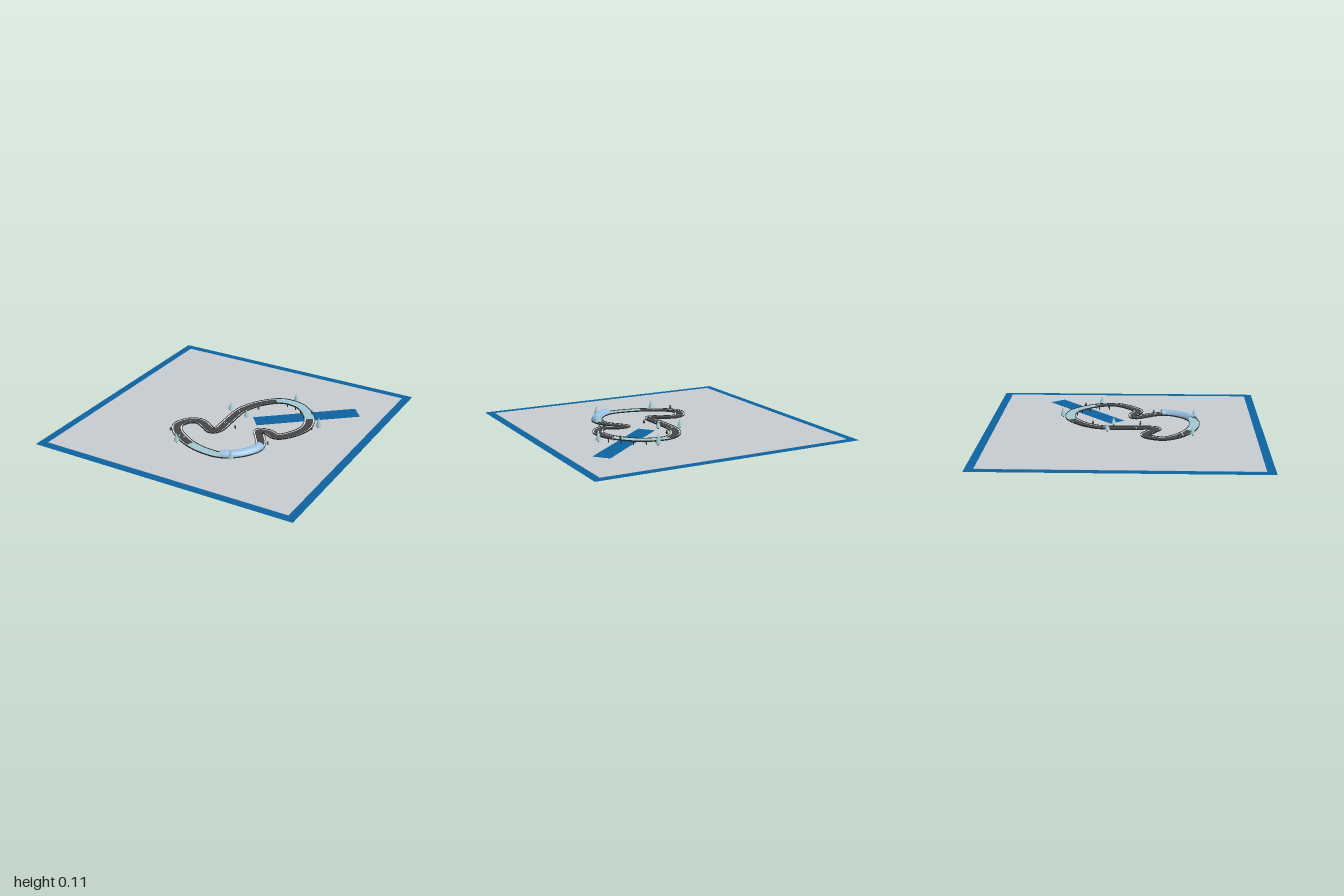
import * as THREE from 'three';
import { toCreasedNormals } from 'three/addons/utils/BufferGeometryUtils.js';

const mat = (name, color, side = THREE.DoubleSide) => {
  const m = new THREE.MeshStandardMaterial({ color, side });
  m.name = name;
  return m;
};

// Centre line of the circuit: x, road height, z
const ROUTE = [
  [-0.01, 0.028, -0.13], [-0.005, 0.027, 0.08], [-0.003, 0.027, 0.19], [-0.03, 0.027, 0.232],
  [-0.1, 0.028, 0.195], [-0.18, 0.03, 0.157], [-0.245, 0.031, 0.185], [-0.285, 0.032, 0.28],
  [-0.235, 0.031, 0.366], [-0.155, 0.029, 0.425], [-0.065, 0.028, 0.473], [0.06, 0.027, 0.507],
  [0.2, 0.027, 0.505], [0.31, 0.027, 0.43], [0.373, 0.027, 0.31], [0.353, 0.027, 0.217],
  [0.3, 0.028, 0.136], [0.264, 0.029, 0.075], [0.326, 0.031, 0.062], [0.417, 0.034, 0.094],
  [0.5, 0.042, 0.02], [0.545, 0.049, -0.088], [0.52, 0.05, -0.21], [0.444, 0.05, -0.318],
  [0.353, 0.049, -0.388], [0.235, 0.046, -0.41], [0.16, 0.041, -0.39], [0.06, 0.033, -0.3],
  [0.01, 0.029, -0.21],
];
const N = ROUTE.length;
const curve = new THREE.CatmullRomCurve3(ROUTE.map(p => new THREE.Vector3(...p)), true, 'centripetal');

// Point beside the road at route position k
function beside(k, offset, lift) {
  const t = (((k / N) % 1) + 1) % 1;
  const p = curve.getPoint(t), d = curve.getTangent(t);
  const l = Math.hypot(d.x, d.z);
  return new THREE.Vector3(p.x + d.z / l * offset, p.y + lift, p.z - d.x / l * offset);
}

// Sweep an (offset, lift) profile between two route positions
function sweep(profile, from, to, closed = true) {
  const steps = Math.round((to - from) * 8), n = profile.length, pos = [], idx = [];
  for (let i = 0; i <= steps; i++) {
    const k = from + (to - from) * i / steps;
    for (const [o, y] of profile) pos.push(...beside(k, o, y).toArray());
  }
  for (let i = 0; i < steps; i++) {
    for (let j = 0; j < (closed ? n : n - 1); j++) {
      const a = i * n + j, b = i * n + (j + 1) % n;
      idx.push(a, b, b + n, a, b + n, a + n);
    }
  }
  const g = new THREE.BufferGeometry();
  g.setAttribute('position', new THREE.Float32BufferAttribute(pos, 3));
  g.setIndex(idx);
  return toCreasedNormals(g, 0.6);
}
const slab = (a, b, lo, hi) => [[a, lo], [b, lo], [b, hi], [a, hi]];

export function createModel() {
  const model = new THREE.Group();
  const M = {
    snow: mat('snow ground', 0xc6cbd0),
    water: mat('water blue', 0x0d62a0),
    asphalt: mat('asphalt', 0x454545),
    ice: mat('pale ice', 0xa0c8d0),
    tunnel: mat('tunnel ice', 0x98bfe2),
    rail: mat('dark rail', 0x2b2d2f),
    white: mat('white paint', 0xe4e8ea),
    wood: mat('trunk brown', 0x4a3a2e),
  };
  const add = (name, geo, m, x = 0, y = 0, z = 0, parent = model) => {
    const mesh = new THREE.Mesh(geo, m);
    mesh.name = name;
    mesh.position.set(x, y, z);
    parent.add(mesh);
    return mesh;
  };

  // Water sheet, snow field and river
  add('water', new THREE.PlaneGeometry(2, 2).rotateX(-Math.PI / 2), M.water, 0, 0.018, 0);
  add('snowField', new THREE.BoxGeometry(1.88, 0.004, 1.88), M.snow, 0, 0.018, 0);
  add('river', new THREE.BoxGeometry(0.77, 0.001, 0.127), M.water, 0.452, 0.0208, -0.303)
    .rotation.y = Math.atan2(0.495, 0.588);

  // Road surface, split where asphalt changes to ice
  const track = new THREE.Group();
  track.name = 'track';
  model.add(track);
  const sections = [[-3, 10, M.asphalt], [10, 14.3, M.ice], [14.3, 22.2, M.asphalt], [22.2, 26, M.ice]];
  for (const [from, to, m] of sections) {
    add('roadSection', sweep(slab(-0.026, 0.026, -0.005, 0), from, to), m, 0, 0, 0, track);
    const edge = m === M.ice ? M.ice : M.white;
    for (const s of [-1, 1]) {
      const a = s < 0 ? -0.035 : 0.026;
      add('roadShoulder', sweep(slab(a, a + 0.009, -0.005, -0.0005), from, to), edge, 0, 0, 0, track);
    }
  }

  // Guard rails
  for (const s of [-1, 1]) {
    add('guardRail', sweep(slab(s * 0.0365 - 0.0015, s * 0.0365 + 0.0015, -0.005, 0.004), 0, N), M.rail, 0, 0, 0, track);
  }

  // Ice tunnel
  const arch = [];
  for (let i = 0; i <= 12; i++) {
    const a = Math.PI * i / 12;
    arch.push([Math.cos(a) * 0.038, Math.sin(a) * 0.038 - 0.003]);
  }
  add('iceTunnel', sweep(arch, 12, 14.4, false), M.tunnel, 0, 0, 0, track);

  // Bridge pillars in pairs
  for (let i = 0; i < 6; i++) {
    for (const s of [-1, 1]) {
      const p = beside(21.4 + i * 0.68, s * 0.03, -0.003);
      add('bridgePillar', new THREE.CylinderGeometry(0.004, 0.004, p.y, 8), M.rail, p.x, p.y / 2, p.z);
    }
  }

  // Start line chequers
  for (let i = 0; i < 12; i++) {
    const p = beside(1 + (i % 2) * 0.06, -0.022 + Math.floor(i / 2) * 0.0088, 0.0005);
    add('startLine', new THREE.BoxGeometry(0.0088, 0.0008, 0.006), (i + (i >> 1)) % 2 ? M.white : M.rail, p.x, p.y, p.z);
  }

  // Frosted trees: x, z, top height
  const trees = [[0.283, -0.468, 0.105], [0.6, -0.193, 0.107], [-0.08, -0.12, 0.088],
    [0.075, -0.08, 0.082], [-0.166, 0.49, 0.092], [0.285, 0.515, 0.097]];
  for (const [x, z, top] of trees) {
    const h = top - 0.032;
    const tree = new THREE.Group();
    tree.name = 'tree';
    tree.position.set(x, 0, z);
    model.add(tree);
    add('treeTrunk', new THREE.CylinderGeometry(0.004, 0.005, 0.016, 8), M.wood, 0, 0.027, 0, tree);
    add('treeCrown', new THREE.ConeGeometry(0.02, h, 12), M.ice, 0, 0.032 + h / 2, 0, tree);
  }

  // Little standing birds beside the circuit
  const birds = [[0.09, -0.233], [0.09, 0.115], [0.405, 0.212], [-0.28, 0.388], [-0.24, 0.192], [0.49, -0.31]];
  birds.forEach(([x, z], i) => {
    const y = i > 2 ? (i === 5 ? 0.05 : 0.031) : 0.02;
    add('birdBody', new THREE.SphereGeometry(0.008, 10, 8).scale(1, 1.4, 1), M.rail, x, y + 0.011, z);
    add('birdHead', new THREE.SphereGeometry(0.005, 8, 6), M.rail, x, y + 0.025, z);
    add('birdBelly', new THREE.SphereGeometry(0.006, 8, 6), M.white, x, y + 0.01, z + 0.003);
  });

  // Ice lumps on the road
  for (const [k, o] of [[9, 0.01], [8.7, -0.012], [0.05, 0], [6, 0.008]]) {
    const p = beside(k, o, 0.003);
    add('iceLump', new THREE.IcosahedronGeometry(0.007, 0), M.ice, p.x, p.y, p.z);
  }
  return model;
}
